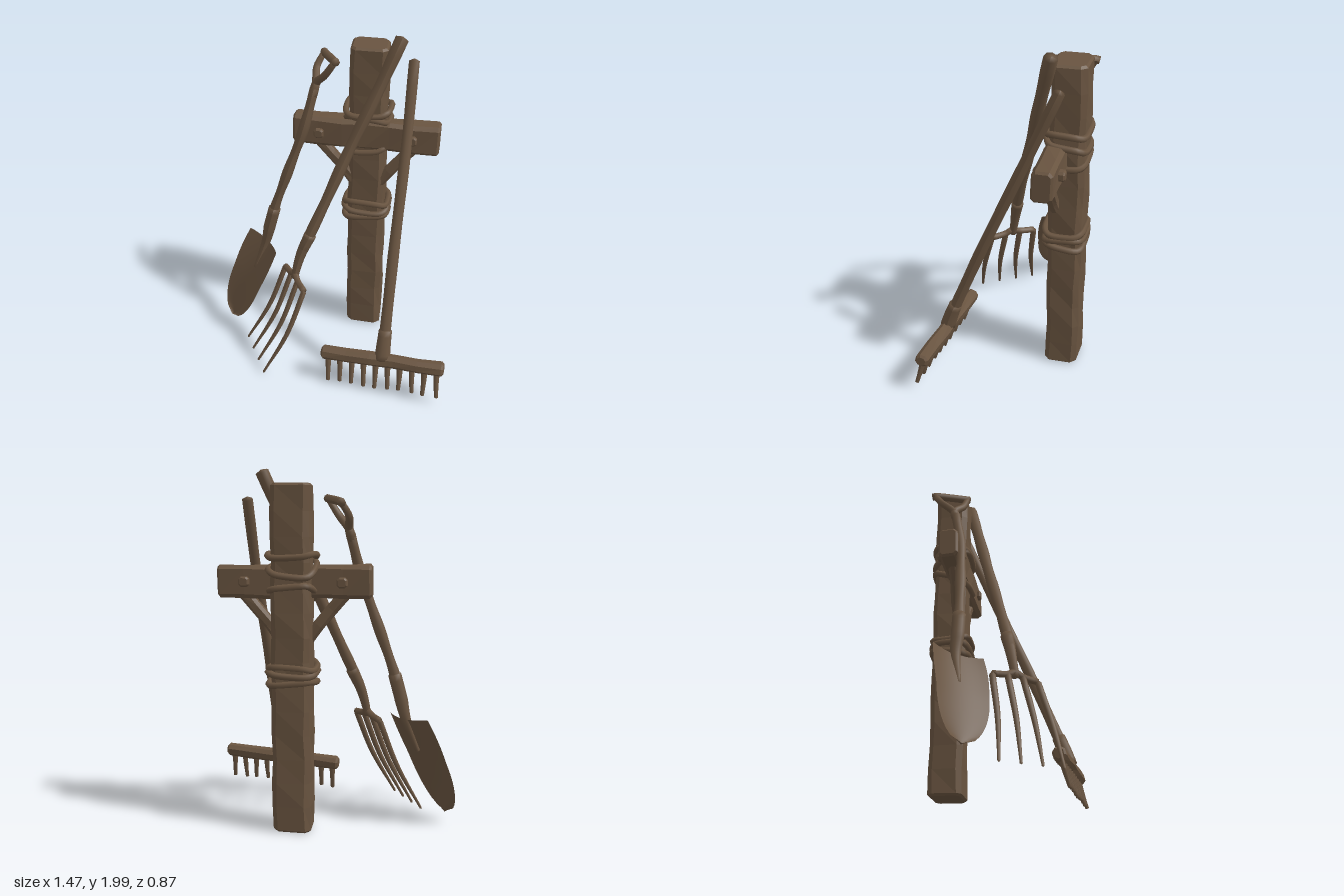
import * as THREE from 'three';

const V = (p) => new THREE.Vector3(...p);

export function createModel() {
  const model = new THREE.Group();
  const wood = new THREE.MeshStandardMaterial({ color: 0x695440, side: THREE.DoubleSide });
  wood.name = 'weathered brown';

  function add(name, geometry, parent = model) {
    const mesh = new THREE.Mesh(geometry, wood);
    mesh.name = name;
    parent.add(mesh);
    return mesh;
  }
  function group(name) {
    const g = new THREE.Group();
    g.name = name;
    model.add(g);
    return g;
  }

  // Chamfered timber running along z, its faces slightly uneven
  function timber(w, h, len, chamfer, wobble = 0.004) {
    const b = Math.min(0.012, chamfer);
    const x = w / 2 - b, y = h / 2 - b, c = chamfer;
    const pts = [[x - c, -y], [x, c - y], [x, y - c], [x - c, y], [c - x, y], [-x, y - c], [-x, c - y], [c - x, -y]];
    const shape = new THREE.Shape(pts.map((p) => new THREE.Vector2(...p)));
    const geo = new THREE.ExtrudeGeometry(shape, {
      depth: len - 2 * b, steps: Math.max(1, Math.round(len / 0.14)),
      bevelThickness: b, bevelSize: b, bevelSegments: 1,
    });
    geo.translate(0, 0, b - len / 2);
    const pos = geo.attributes.position;
    for (let i = 0; i < pos.count; i++) {
      const px = pos.getX(i), py = pos.getY(i), pz = pos.getZ(i);
      pos.setX(i, px + wobble * Math.sin(pz * 17 + py * 20));
      pos.setY(i, py + wobble * Math.sin(pz * 13 + px * 25 + 2));
    }
    geo.computeVertexNormals();
    return geo;
  }

  // Tapered tube through points; radius(t) varies along it, ends are closed
  function rod(points, radius, segs = 24, sides = 8) {
    const curve = new THREE.CatmullRomCurve3(points.map(V));
    const geo = new THREE.TubeGeometry(curve, segs, 1, sides, false);
    const pos = geo.attributes.position, v = new THREE.Vector3();
    for (let i = 0; i < pos.count; i++) {
      const ring = Math.floor(i / (sides + 1));
      const end = ring === 0 || ring === segs;
      // the end rings shrink onto the axis and sit level with their neighbours
      const near = Math.min(Math.max(ring, 0.15), segs - 0.15) / segs;
      const inner = ring === 1 ? 0.2 / segs : ring === segs - 1 ? 1 - 0.2 / segs : near;
      const centre = curve.getPointAt(ring / segs);
      v.fromBufferAttribute(pos, i).sub(centre).multiplyScalar(end ? 0.001 : radius(ring / segs));
      v.add(curve.getPointAt(end ? ring / segs : inner));
      pos.setXYZ(i, v.x, v.y, v.z);
    }
    geo.computeVertexNormals();
    return geo;
  }

  // Post, crossbeam, bolts and braces
  const postX = 0.16, postZ = -0.32;
  add('post', timber(0.212, 0.19, 1.91, 0.022).rotateX(-Math.PI / 2)).position.set(postX, 0.955, postZ);
  const beam = add('crossbeam', timber(0.115, 0.18, 0.85, 0.014).rotateY(Math.PI / 2));
  beam.position.set(0.155, 1.385, -0.268);
  beam.rotation.z = -0.012;
  for (const s of [-1, 1]) {
    add('bolt', timber(0.056, 0.056, 0.17, 0.008, 0)).position.set(postX - 0.005 + s * 0.27, 1.385, -0.273);
    const brace = add('brace', timber(0.055, 0.065, 0.36, 0.01));
    brace.position.set(postX + s * 0.175, 1.19, -0.265);
    brace.lookAt(postX + s * 0.275, 1.315, -0.265);
  }

  // Rope wound around the post; y rises or falls from front to back
  const ropes = group('ropeBindings');
  function rope(yFront, yBack, phase, hx = 0.128, hz = 0.108) {
    const pts = [];
    for (let i = 0; i < 16; i++) {
      const a = (i / 16) * Math.PI * 2, c = Math.cos(a), s = Math.sin(a);
      const f = (s + 1) / 2;
      pts.push(new THREE.Vector3(
        postX + hx * Math.sign(c) * Math.sqrt(Math.abs(c)),
        yBack + (yFront - yBack) * f + 0.012 * Math.sin(a * 2 + phase),
        postZ + 0.008 + hz * Math.sign(s) * Math.sqrt(Math.abs(s))));
    }
    add('rope', new THREE.TubeGeometry(new THREE.CatmullRomCurve3(pts, true), 48, 0.018, 6, true), ropes);
  }
  rope(0.84, 0.84, 0);
  rope(0.88, 0.89, 2.2, 0.132, 0.11);
  rope(0.93, 0.92, 4.2);
  rope(1.52, 1.53, 1);
  rope(1.5, 1.42, 3, 0.125);
  rope(1.29, 1.37, 0.5, 0.12);

  // Shovel: shaft, socket, open grip and dished blade
  const shovel = group('shovel');
  add('shovelShaft', rod([[-0.42, 0.74, -0.165], [-0.385, 0.87, -0.168], [-0.3, 1.12, -0.182],
    [-0.205, 1.4, -0.205], [-0.145, 1.65, -0.25]], (t) => 0.029 + 0.003 * Math.sin(t * 19)), shovel);
  add('shovelSocket', rod([[-0.52, 0.42, -0.135], [-0.455, 0.6, -0.168], [-0.42, 0.74, -0.166], [-0.385, 0.87, -0.168]],
    (t) => 0.012 + 0.025 * Math.min(1, t * 1.5)), shovel);
  const gripEnds = [[-0.115, 1.81, -0.385], [-0.02, 1.83, -0.205]];
  add('shovelGripBar', rod([[-0.12, 1.805, -0.405], ...gripEnds, [-0.012, 1.832, -0.19]], () => 0.023), shovel);
  const armMids = [[-0.15, 1.74, -0.34], [-0.08, 1.74, -0.22]];
  armMids.forEach((mid, i) => add('shovelGripArm',
    rod([[-0.155, 1.6, -0.24], [-0.14, 1.67, -0.26], mid, gripEnds[i]], (t) => 0.026 - 0.008 * t, 14), shovel));

  const blade = new THREE.PlaneGeometry(1, 1, 12, 20);
  const axis = new THREE.QuadraticBezierCurve3(V([-0.465, 0.625, -0.15]), V([-0.59, 0.34, -0.08]), V([-0.685, 0.06, -0.08]));
  const across = V([0.7, -0.05, 0.7]).normalize();
  const back = V([0.65, -0.33, -0.65]).normalize();
  const bp = blade.attributes.position;
  for (let i = 0; i < bp.count; i++) {
    const u = bp.getX(i) * 2, t = 0.5 - bp.getY(i);
    const half = 0.158 * (t < 0.45 ? 1 + 0.05 * Math.sin(t * 7) : Math.sqrt(Math.max(0, 1 - ((t - 0.45) / 0.55) ** 2.2)));
    const p = axis.getPoint(t).addScaledVector(across, u * half).addScaledVector(back, 0.035 * (1 - u * u) * (1 - t * 0.6));
    bp.setXYZ(i, p.x, p.y, p.z);
  }
  blade.computeVertexNormals();
  add('shovelBlade', blade, shovel);

  // Fork: shaft, neck, shoulder and four bowed tines
  const fork = group('fork');
  add('forkShaft', rod([[0.343, 1.985, -0.25], [0.23, 1.7, -0.172], [0.09, 1.37, -0.085], [-0.04, 1.04, 0.005], [-0.16, 0.75, 0.08]],
    (t) => 0.036 - 0.006 * t + 0.002 * Math.sin(t * 23)), fork);
  add('forkNeck', rod([[-0.115, 0.85, 0.052], [-0.165, 0.73, 0.08], [-0.19, 0.64, 0.097], [-0.205, 0.56, 0.11]],
    (t) => 0.037 - 0.016 * t), fork);
  const root = (k) => [-0.205 + 0.055 * k, 0.575 - 0.012 * Math.abs(k), 0.11 + 0.075 * k];
  add('forkShoulder', rod([root(-1.5), root(-0.5), [-0.2, 0.59, 0.11], root(0.5), root(1.5)], () => 0.019), fork);
  for (let k = -1.5; k <= 1.5; k++) {
    const r = root(k);
    const tip = [-0.445 + 0.06 * k, 0.008, 0.22 + 0.1 * k];
    const mid = r.map((c, i) => (c + tip[i]) / 2 + [0.025, 0, 0.008][i]);
    add('forkTine', rod([r, mid, tip], (t) => 0.018 - 0.012 * t * t, 16, 6), fork);
  }

  // Rake: shaft, socket, bar and ten pegs
  const rake = group('rake');
  add('rakeShaft', rod([[0.405, 1.84, -0.315], [0.402, 1.4, -0.13], [0.385, 0.85, 0.105], [0.372, 0.26, 0.342]],
    (t) => 0.029 + 0.004 * t + 0.001 * Math.sin(t * 21)), rake);
  add('rakeSocket', rod([[0.376, 0.4, 0.288], [0.373, 0.32, 0.318], [0.37, 0.22, 0.35]], (t) => 0.038 + 0.008 * t, 10), rake);
  const head = new THREE.Group();
  head.name = 'rakeHead';
  head.position.set(0.368, 0.214, 0.348);
  head.rotation.set(-0.2, -0.095, 0.035);
  rake.add(head);
  add('rakeBar', timber(0.075, 0.078, 0.735, 0.014, 0.003).rotateY(Math.PI / 2), head);
  for (let i = 0; i < 10; i++) {
    const x = -0.327 + i * 0.0727;
    add('rakePeg', rod([[x, 0, 0], [x, -0.09, 0.003], [x + 0.006 * Math.sin(i * 3), -0.188 - 0.006 * Math.sin(i * 5), 0.01]],
      (t) => 0.02 - 0.009 * t, 8, 6), head);
  }
  return model;
}
